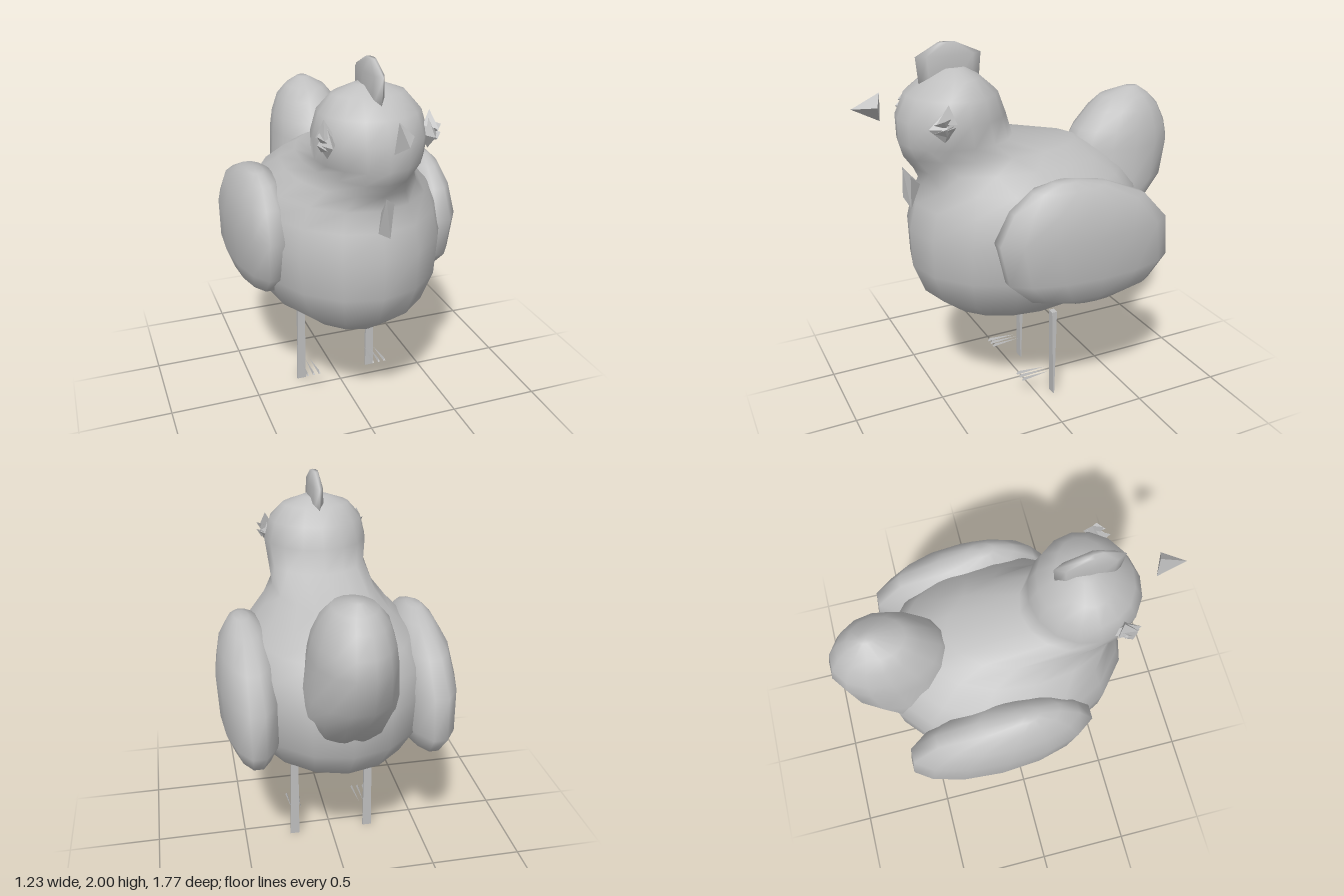
import * as THREE from 'three';
import { ConvexGeometry } from 'three/addons/geometries/ConvexGeometry.js';

const grey = new THREE.MeshStandardMaterial({ color: 0xc0c0c0 });
grey.name = 'plain grey';

function part(name, geometry) {
  const mesh = new THREE.Mesh(geometry, grey);
  mesh.name = name;
  return mesh;
}

// Smooth skin over horizontal oval rings: [y, zFront, zBack, halfWidth, centreX]
function loft(rings, sides = 16) {
  const pos = [], index = [];
  for (const [y, zf, zb, hw, cx = 0] of rings) {
    for (let j = 0; j < sides; j++) {
      const t = (j / sides) * Math.PI * 2;
      pos.push(cx + hw * Math.cos(t), y, (zf + zb) / 2 + ((zf - zb) / 2) * Math.sin(t));
    }
  }
  for (let i = 0; i < rings.length - 1; i++) {
    for (let j = 0; j < sides; j++) {
      const k = (j + 1) % sides;
      const a = i * sides + j, b = i * sides + k, c = a + sides, d = b + sides;
      index.push(a, c, b, b, c, d);
    }
  }
  // Close both ends
  const last = rings.length - 1;
  for (const i of [0, last]) {
    const [y, zf, zb, , cx = 0] = rings[i];
    const centre = pos.length / 3;
    pos.push(cx, y, (zf + zb) / 2);
    for (let j = 0; j < sides; j++) {
      const a = i * sides + j, b = i * sides + ((j + 1) % sides);
      if (i === 0) index.push(centre, a, b);
      else index.push(centre, b, a);
    }
  }
  const g = new THREE.BufferGeometry();
  g.setAttribute('position', new THREE.Float32BufferAttribute(pos, 3));
  g.setIndex(index);
  g.computeVertexNormals();
  return g;
}

// Small faceted solid around a few corner points
const shard = (points) => new ConvexGeometry(points.map((p) => new THREE.Vector3(...p)));

export function createModel() {
  const hen = new THREE.Group();
  hen.name = 'hen';

  // Body flowing up through the neck into the head
  hen.add(part('bodyAndHead', loft([
    [0.50, 0.16, 0.04, 0.04],
    [0.53, 0.28, -0.20, 0.17],
    [0.58, 0.42, -0.37, 0.28],
    [0.70, 0.57, -0.55, 0.43],
    [0.86, 0.63, -0.66, 0.50],
    [1.06, 0.635, -0.67, 0.52],
    [1.20, 0.60, -0.64, 0.49],
    [1.30, 0.56, -0.56, 0.43],
    [1.39, 0.60, -0.45, 0.33],
    [1.46, 0.65, -0.30, 0.27],
    [1.53, 0.67, 0.08, 0.265],
    [1.65, 0.67, 0.12, 0.28],
    [1.76, 0.62, 0.16, 0.25],
    [1.84, 0.51, 0.25, 0.18],
    [1.88, 0.43, 0.32, 0.07],
  ])));

  // Upright tail
  hen.add(part('tail', loft([
    [0.95, -0.30, -0.66, 0.22],
    [1.06, -0.25, -0.72, 0.24],
    [1.20, -0.24, -0.85, 0.23],
    [1.39, -0.27, -0.89, 0.21],
    [1.48, -0.32, -0.87, 0.195],
    [1.58, -0.41, -0.82, 0.16],
    [1.64, -0.48, -0.76, 0.11],
    [1.68, -0.62, -0.70, 0.03],
  ], 14)));

  // Folded wings
  for (const [name, s] of [['leftWing', 1], ['rightWing', -1]]) {
    hen.add(part(name, loft([
      [0.695, -0.05, -0.33, 0.04, s * 0.45],
      [0.76, 0.18, -0.53, 0.11, s * 0.45],
      [0.88, 0.31, -0.63, 0.155, s * 0.45],
      [1.10, 0.36, -0.61, 0.165, s * 0.45],
      [1.25, 0.28, -0.47, 0.14, s * 0.45],
      [1.34, 0.17, -0.25, 0.09, s * 0.45],
      [1.375, 0.06, -0.08, 0.04, s * 0.46],
    ], 14)));
  }

  // Comb on top of the head
  hen.add(part('comb', loft([
    [1.78, 0.55, 0.24, 0.045],
    [1.94, 0.565, 0.225, 0.035],
    [2.00, 0.45, 0.36, 0.022],
  ], 8)));

  // Beak held just ahead of the face, and wattle below it
  hen.add(part('beak', shard([
    [-0.01, 1.72, 0.89], [0, 1.79, 0.75], [-0.02, 1.645, 0.75], [0.06, 1.73, 0.78],
  ])));
  hen.add(part('wattle', shard([
    [-0.01, 1.4, 0.655], [0.04, 1.36, 0.63], [0.025, 1.185, 0.63],
    [-0.045, 1.23, 0.65], [0, 1.3, 0.57],
  ])));

  for (const [side, s] of [['left', 1], ['right', -1]]) {
    // Faceted eye with small lash spikes
    const eye = new THREE.Group();
    eye.name = side + 'Eye';
    const ball = part('eyeball', new THREE.OctahedronGeometry(0.08));
    ball.scale.set(0.55, 0.9, 1);
    eye.add(ball);
    eye.add(part('brow', shard([
      [s * 0.01, 0.11, -0.02], [s * 0.04, 0.02, -0.05], [s * 0.03, 0.03, 0.05], [s * -0.03, 0.04, 0],
    ])));
    for (const y of [-0.015, 0.025]) {
      eye.add(part('lash', shard([
        [s * 0.02, y, 0.06], [s * 0.055, y + 0.02, 0.02], [s * 0.02, y + 0.025, -0.04], [s * 0.03, y - 0.02, 0],
      ])));
    }
    eye.position.set(s * 0.25, 1.65, 0.52);
    hen.add(eye);

    // Thin leg, flattening to an edge at the ground
    const x0 = s * 0.19, x1 = s * 0.23, x2 = s * 0.242;
    hen.add(part(side + 'Leg', shard([
      [x0, 0.52, -0.075], [x1, 0.52, -0.075], [x0, 0.52, -0.105], [x1, 0.52, -0.105],
      [x0, 0, -0.084], [x2, 0, -0.084], [x0, 0, -0.09], [x2, 0, -0.09],
    ])));

    // Three sliver toes
    const foot = new THREE.Group();
    foot.name = side + 'Foot';
    for (const k of [-1, 0, 1]) {
      const x = s * 0.2 + k * 0.035;
      foot.add(part('toe', shard([
        [x - k * 0.01, 0.147, -0.06], [x - 0.006, 0.14, 0.11],
        [x + 0.006, 0.14, 0.11], [x, 0.157, 0.1],
      ])));
    }
    hen.add(foot);
  }

  return hen;
}
